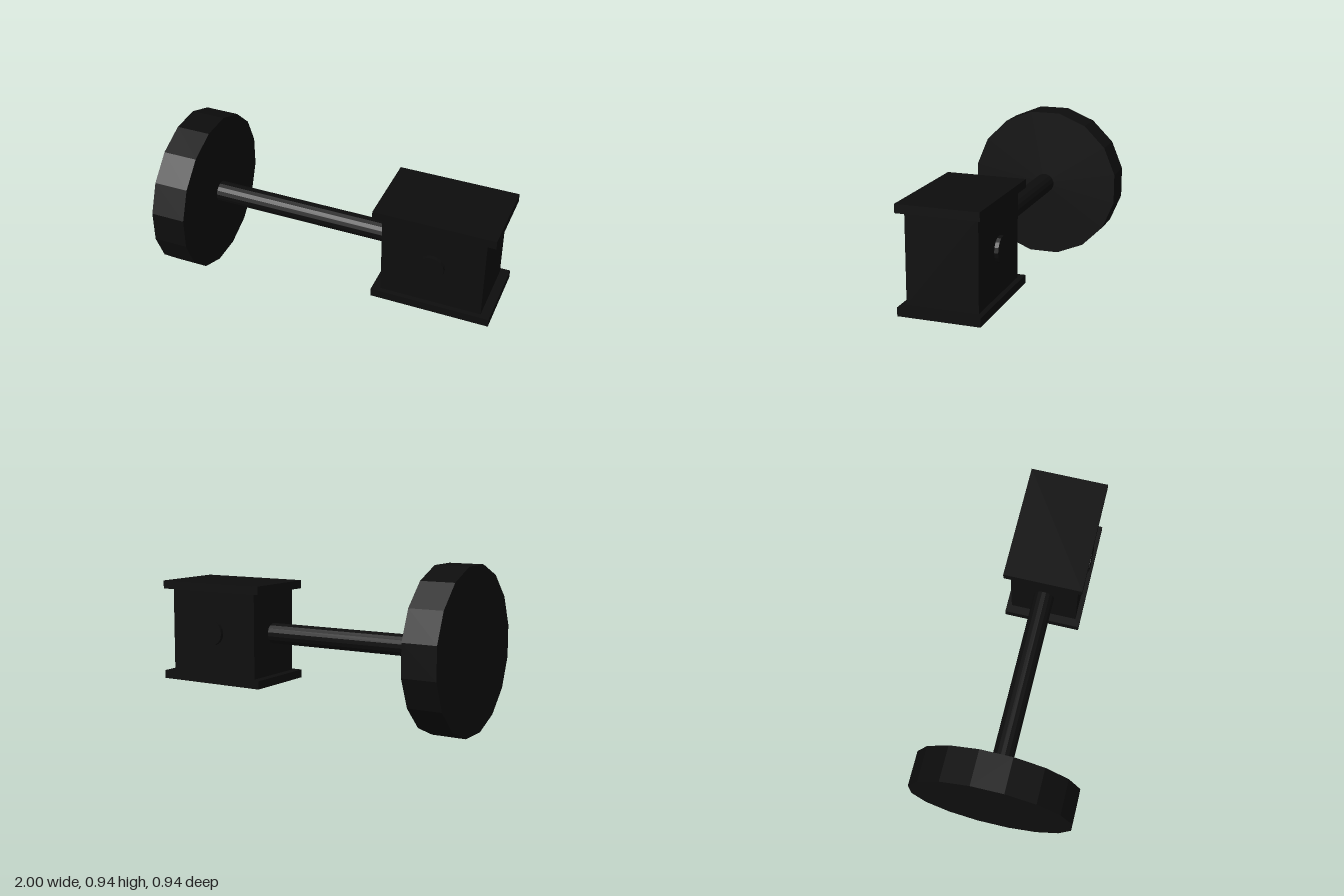
import * as THREE from 'three';

export function createModel() {
  const model = new THREE.Group();
  const black = new THREE.MeshStandardMaterial({ color: 0x0d0d0d, flatShading: true });
  black.name = 'black';
  const midY = 0.4725;

  function add(name, geometry, x, y, z) {
    const mesh = new THREE.Mesh(geometry, black);
    mesh.name = name;
    mesh.position.set(x, y, z);
    model.add(mesh);
    return mesh;
  }

  // Sixteen-sided cylinder lying along x, with a flat facet on top
  const axial = (radius, length) =>
    new THREE.CylinderGeometry(radius, radius, length, 16)
      .rotateY(Math.PI / 16)
      .rotateZ(Math.PI / 2);

  // Large disc and connecting rod
  add('disc', axial(0.4817, 0.205), -0.8975, midY, 0);
  add('rod', axial(0.0625, 1.14), -0.23, midY, 0);

  // Block with overhanging plates above and below
  add('block', new THREE.BoxGeometry(0.61, 0.52, 0.41), 0.64, midY, 0);
  for (const side of [1, -1]) {
    add(side > 0 ? 'topPlate' : 'bottomPlate',
      new THREE.BoxGeometry(0.715, 0.05, 0.47), 0.6425, midY + side * 0.283, 0);

    // Round boss on the front and back of the block
    add(side > 0 ? 'frontBoss' : 'backBoss',
      new THREE.CylinderGeometry(0.076, 0.076, 0.03, 16).rotateX(Math.PI / 2),
      0.64, midY + 0.003, side * 0.213);
  }
  return model;
}
